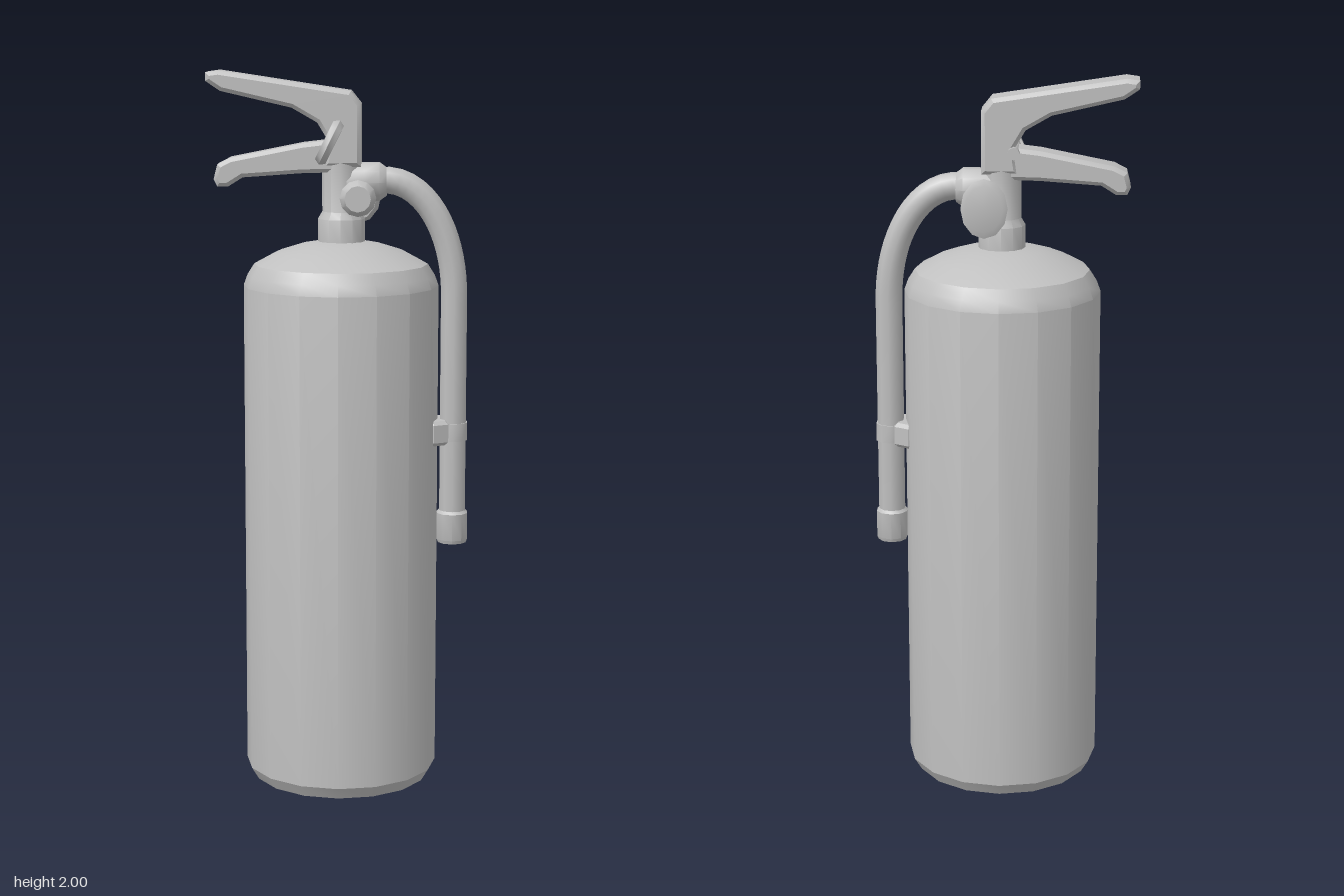
import * as THREE from 'three';
import { toCreasedNormals } from 'three/addons/utils/BufferGeometryUtils.js';

const V2 = (p) => new THREE.Vector2(p[0], p[1]);
const V3 = (x, y, z = 0) => new THREE.Vector3(x, y, z);

export function createModel() {
  const model = new THREE.Group();
  model.name = 'fireExtinguisher';
  const grey = new THREE.MeshStandardMaterial({ color: 0xc0c0c0 });
  grey.name = 'plain grey';

  function add(name, geometry, x = 0, y = 0, z = 0, crease = 0.5) {
    const mesh = new THREE.Mesh(toCreasedNormals(geometry, crease), grey);
    mesh.name = name;
    mesh.position.set(x, y, z);
    model.add(mesh);
    return mesh;
  }
  const lathe = (points, sides) => new THREE.LatheGeometry(points.map(V2), sides);

  // Bevelled side profile, extruded to a total width centred on z = 0
  function slab(points, width, bevel) {
    const geometry = new THREE.ExtrudeGeometry(new THREE.Shape(points.map(V2)), {
      depth: width - 2 * bevel, bevelThickness: bevel, bevelSize: bevel,
      bevelOffset: -bevel, bevelSegments: 1,
    });
    return geometry.translate(0, 0, -width / 2 + bevel);
  }

  // Tank with chamfered foot and shallow dome
  add('tank', lathe([
    [0, 0], [0.25, 0], [0.271, 0.035], [0.271, 1.41], [0.26, 1.44], [0.241, 1.47],
    [0.18, 1.503], [0.11, 1.525], [0.05, 1.535], [0, 1.535],
  ], 16), 0.004);

  // Neck and valve stem
  add('neck', lathe([
    [0, 1.52], [0.065, 1.52], [0.065, 1.595], [0.053, 1.615], [0.053, 1.77], [0, 1.77],
  ], 12), 0.005, 0, 0, 0.6);

  // Carrying handle and squeeze lever
  add('handle', slab([
    [-0.365, 1.972], [-0.325, 1.945], [-0.13, 1.9], [-0.06, 1.86], [-0.03, 1.81],
    [-0.04, 1.74], [0.06, 1.74], [0.06, 1.91], [0.032, 1.945], [-0.33, 2.0], [-0.365, 1.995],
  ], 0.106, 0.011));
  add('lever', slab([
    [-0.345, 1.705], [-0.335, 1.685], [-0.305, 1.685], [-0.265, 1.71], [-0.1, 1.722],
    [0.02, 1.725], [0.035, 1.77], [0, 1.815], [-0.1, 1.803], [-0.3, 1.763], [-0.335, 1.745],
  ], 0.092, 0.011));

  // Safety pin and pull ring
  add('safetyPin', new THREE.CylinderGeometry(0.017, 0.017, 0.13, 8).rotateX(Math.PI / 2),
    -0.028, 1.8, 0, 0.9);
  add('pullRing', new THREE.TorusGeometry(0.048, 0.018, 6, 8).rotateY(Math.PI / 2).rotateZ(-0.46),
    -0.024, 1.81, 0.107, 0.9);

  // Gauge on the front, larger dial on the back
  add('frontGauge', lathe([
    [0, 0], [0.05, 0], [0.05, 0.035], [0.036, 0.055], [0, 0.055],
  ], 12).rotateX(Math.PI / 2), 0.052, 1.655, 0.03, 0.6);
  add('backDial', lathe([
    [0, 0], [0.052, 0], [0.064, 0.06], [0.05, 0.066], [0, 0.066],
  ], 12).rotateX(-Math.PI / 2).scale(1, 1.28, 1), 0.05, 1.655, -0.03, 0.6);

  // Outlet nut
  add('outletNut', lathe([
    [0, 0], [0.05, 0], [0.055, 0.05], [0.055, 0.09], [0.04, 0.11], [0, 0.11],
  ], 10).rotateZ(-Math.PI / 2), 0.02, 1.697, 0, 0.7);

  // Hose bending over and hanging down the side
  const path = new THREE.CurvePath();
  path.add(new THREE.CubicBezierCurve3(
    V3(0.11, 1.7), V3(0.22, 1.715), V3(0.318, 1.58), V3(0.318, 1.38)));
  path.add(new THREE.LineCurve3(V3(0.318, 1.38), V3(0.318, 0.74)));
  add('hose', new THREE.TubeGeometry(path, 40, 0.038, 10), 0, 0, 0, 0.8);

  // Nozzle with a recessed mouth
  add('nozzle', lathe([
    [0, 0.7], [0.012, 0.7], [0.017, 0.68], [0.041, 0.68], [0.045, 0.69],
    [0.045, 0.765], [0.036, 0.775],
  ], 10), 0.318, 0, 0, 0.7);

  // Clip holding the hose to the tank
  const clip = new THREE.Shape([
    [0.24, -0.06], [0.265, -0.068], [0.305, -0.045], [0.305, 0.045], [0.265, 0.068], [0.24, 0.06],
  ].map(V2));
  const clipGeometry = new THREE.ExtrudeGeometry(clip, {
    depth: 0.05, bevelThickness: 0.01, bevelSize: 0.01, bevelOffset: -0.01, bevelSegments: 1,
  }).translate(0, 0, -0.025).rotateX(-Math.PI / 2);
  add('hoseClip', clipGeometry, 0, 1, 0);
  add('clipBand', new THREE.CylinderGeometry(0.042, 0.042, 0.05, 10), 0.318, 1, 0, 0.8);

  return model;
}
